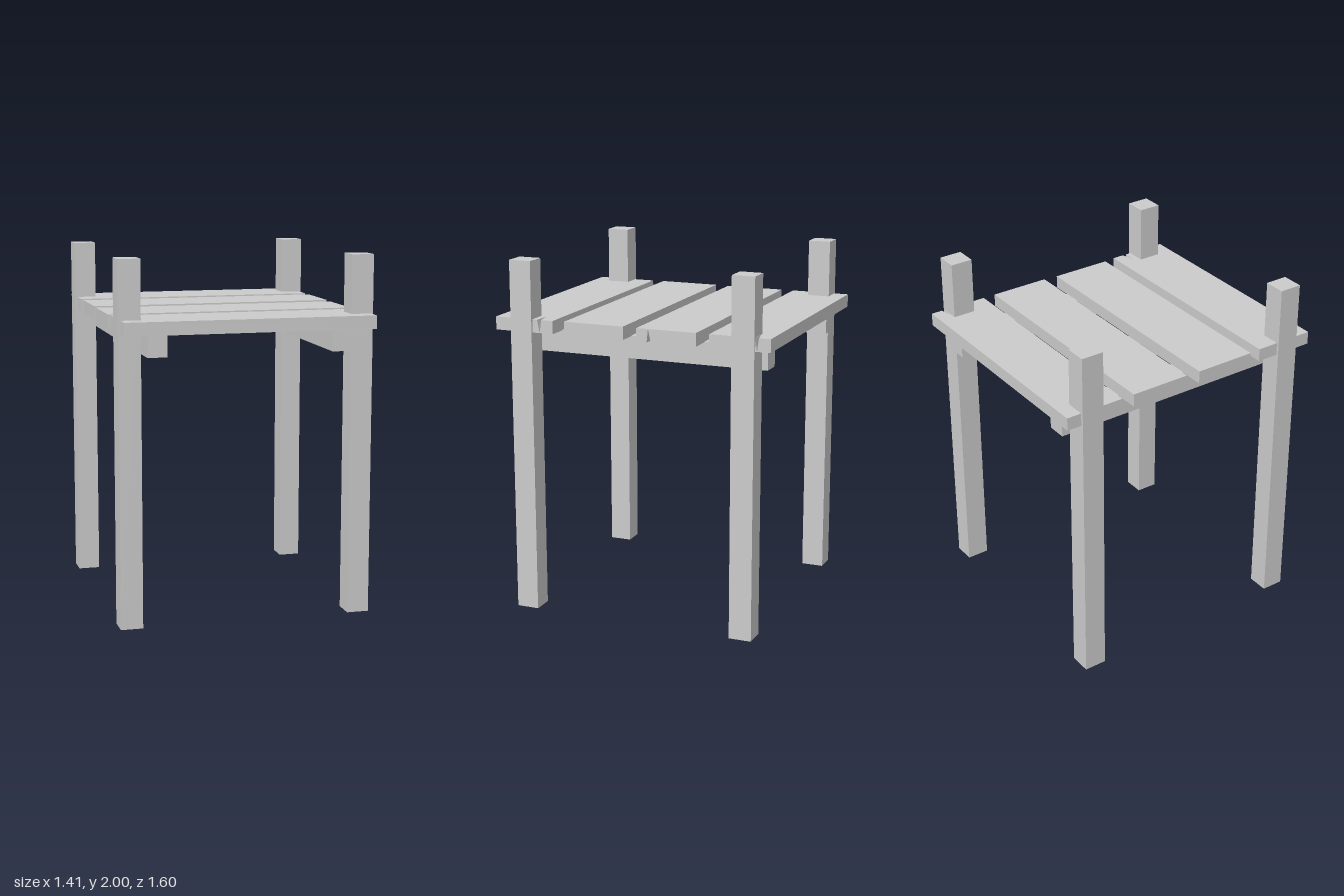
import * as THREE from 'three';

const material = new THREE.MeshStandardMaterial({ color: 0xcccccc, flatShading: true });
const PLANK_Y = 1.605, PLANK_H = 0.073;

// Box given by its limits on each axis
function block(name, [x0, x1], [y0, y1], [z0, z1]) {
  const mesh = new THREE.Mesh(new THREE.BoxGeometry(x1 - x0, y1 - y0, z1 - z0), material);
  mesh.position.set((x0 + x1) / 2, (y0 + y1) / 2, (z0 + z1) / 2);
  mesh.name = name;
  return mesh;
}

// Plank with a wedge-shaped split in its left end, open on one face
// and closing to a point on the opposite face
function splitPlank(name, [x0, x1], [z0, z1], { from, to, tip, end, openTop }) {
  const outline = [[x0, z1], [x1, z1], [x1, to], tip, [x1, from], [x1, z0], [x0, z0]];
  const shape = new THREE.Shape(outline.map(([x, z]) => new THREE.Vector2(x, -z)));
  const geometry = new THREE.ExtrudeGeometry(shape, { depth: PLANK_H, bevelEnabled: false });
  geometry.rotateX(-Math.PI / 2);

  // Close the split on the far face
  const p = geometry.attributes.position;
  for (let i = 0; i < p.count; i++) {
    const isTop = p.getY(i) > PLANK_H / 2;
    const inSplit = p.getZ(i) > from - 0.001 && p.getZ(i) < to + 0.001;
    if (inSplit && isTop !== openTop) {
      p.setX(i, x1);
      p.setZ(i, end);
    }
  }
  geometry.computeVertexNormals();
  const mesh = new THREE.Mesh(geometry, material);
  mesh.position.y = PLANK_Y;
  mesh.name = name;
  return mesh;
}

export function createModel() {
  const model = new THREE.Group();
  model.name = 'plankTable';

  // Corner posts rising through the top
  for (const [side, x] of [['Right', [-0.709, -0.586]], ['Left', [0.581, 0.704]]]) {
    for (const [end, z] of [['front', [0.576, 0.703]], ['back', [-0.715, -0.587]]]) {
      model.add(block(`${end}${side}Post`, x, [0, 2], z));
    }
  }

  // Beams under the planks
  model.add(block('rightBeam', [-0.56, -0.451], [1.482, 1.608], [-0.745, 0.74]));
  model.add(block('leftBeam', [0.463, 0.574], [1.482, 1.608], [-0.745, 0.74]));

  // Planks, three of them split at the left end
  model.add(splitPlank('backPlank', [-0.695, 0.691], [-0.8, -0.459],
    { from: -0.735, to: -0.715, tip: [0.615, -0.72], end: -0.725, openTop: true }));
  model.add(splitPlank('backMiddlePlank', [-0.695, 0.691], [-0.386, -0.043],
    { from: -0.127, to: -0.103, tip: [0.6, -0.111], end: -0.111, openTop: false }));
  model.add(block('frontMiddlePlank', [-0.7, 0.683],
    [PLANK_Y, PLANK_Y + PLANK_H], [0.038, 0.387]));
  model.add(splitPlank('frontPlank', [-0.695, 0.691], [0.453, 0.8],
    { from: 0.522, to: 0.547, tip: [0.595, 0.541], end: 0.533, openTop: true }));

  return model;
}
